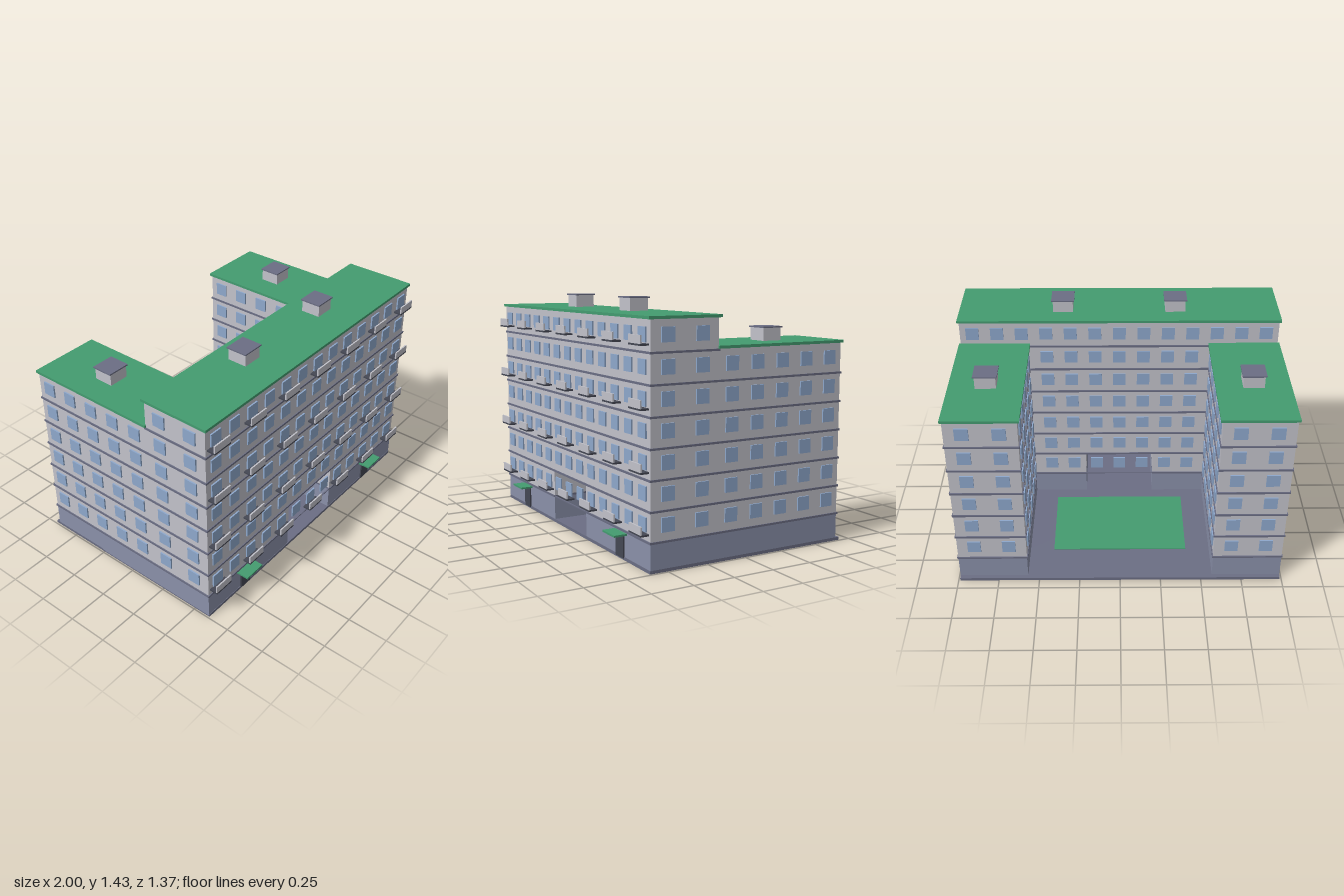
import * as THREE from 'three';

const mat = (name, color) => {
  const m = new THREE.MeshStandardMaterial({ color });
  m.name = name;
  return m;
};

export function createModel() {
  const wall = mat('wall grey', 0xc2c2ca);
  const plinth = mat('plinth blue grey', 0x8a90a9);
  const trim = mat('trim and paving', 0x6b6e84);
  const glass = mat('window blue', 0x8ea8cc);
  const green = mat('roof green', 0x449c70);
  const dark = mat('dark grey', 0x454854);

  const model = new THREE.Group();
  model.name = 'apartmentBlock';
  const group = (name) => {
    const g = new THREE.Group();
    g.name = name;
    model.add(g);
    return g;
  };

  // Box given by its limits along x, y and z
  const box = (parent, name, m, x0, x1, y0, y1, z0, z1) => {
    const mesh = new THREE.Mesh(new THREE.BoxGeometry(x1 - x0, y1 - y0, z1 - z0), m);
    mesh.position.set((x0 + x1) / 2, (y0 + y1) / 2, (z0 + z1) / 2);
    mesh.name = name;
    parent.add(mesh);
  };
  // Same box on both sides of x = 0
  const pair = (parent, name, m, x0, x1, ...rest) => {
    box(parent, name, m, x0, x1, ...rest);
    box(parent, name, m, -x1, -x0, ...rest);
  };

  const FLOOR = 1 / 6;
  const X = 0.99, XI = 0.57, ARCH = 0.225;
  const ZF = 0.605, ZM = 0.187, ZB = -0.656;
  const STEP = 0.152;

  // Paving and lawn
  const ground = group('ground');
  box(ground, 'paving', trim, -X, X, 0, 0.018, -0.683, 0.608);
  box(ground, 'lawn', green, -0.42, 0.42, 0.018, 0.024, -0.425, 0.1);

  // Main block with an open passage through the two lowest storeys
  const main = group('mainBlock');
  pair(main, 'mainPlinth', plinth, ARCH, X, 0.008, FLOOR, ZM, ZF);
  pair(main, 'mainLowerWall', wall, ARCH, X, FLOOR, 2 * FLOOR, ZM, ZF);
  box(main, 'mainUpperWall', wall, -X, X, 2 * FLOOR, 1.338, ZM, ZF);
  box(main, 'mainRoof', green, -1, 1, 1.338, 1.354, 0.17, 0.617);

  // Lower rear wings
  const wings = group('wings');
  pair(wings, 'wingPlinth', plinth, XI, X, 0.008, FLOOR, ZB, ZM);
  pair(wings, 'wingWall', wall, XI, X, FLOOR, 1.172, ZB, ZM);
  pair(wings, 'wingRoof', green, 0.557, 1, 1.172, 1.188, -0.669, 0.19);

  // Storey bands
  const bands = group('storeyBands');
  const o = 0.006;
  for (let f = 1; f <= 7; f++) {
    const y0 = f * FLOOR - 0.006, y1 = y0 + 0.012;
    if (f === 1) {
      pair(bands, 'mainBand', trim, ARCH, X + o, y0, y1, ZM - o, ZF + o);
      for (const z of [ZM, ZF]) {
        box(bands, 'passageBar', trim, -ARCH, ARCH, FLOOR - 0.003, FLOOR + 0.003, z - 0.004, z + 0.004);
      }
    } else {
      box(bands, 'mainBand', trim, -X - o, X + o, y0, y1, ZM - o, ZF + o);
    }
    if (f < 7) pair(bands, 'wingBand', trim, XI - o, X + o, y0, y1, ZB - o, ZM);
  }

  // Windows: thin plates on every facade
  const windows = group('windows');
  const H = 0.04, T = 0.009;
  const mainZ = [0.502, 0.289];
  const wingZ = [0.1, -0.068, -0.236, -0.404, -0.572];
  for (let f = 0; f < 7; f++) {
    const y = FLOOR * (f + 1) + 0.092;
    const y0 = y - H, y1 = y + H;
    for (let i = -6; i <= 6; i++) {
      const x = i * STEP;
      box(windows, 'frontWindow', glass, x - H, x + H, y0, y1, ZF, ZF + T);
      if (f === 6 || Math.abs(i) <= 3) {
        box(windows, 'courtWindow', glass, x - H, x + H, y0, y1, ZM - T, ZM);
      }
    }
    const sideZ = f < 6 ? [...mainZ, ...wingZ] : mainZ;
    for (const z of sideZ) pair(windows, 'sideWindow', glass, X, X + T, y0, y1, z - H, z + H);
    if (f === 6) continue;
    for (const z of wingZ) pair(windows, 'innerWindow', glass, XI - T, XI, y0, y1, z - H, z + H);
    for (const x of [0.675, 0.885]) {
      pair(windows, 'rearWindow', glass, x - H, x + H, y0, y1, ZB - T, ZB);
    }
  }

  // Balconies on alternate windows of alternate storeys
  const balconies = group('balconies');
  for (let f = 0; f < 7; f += 2) {
    const y = FLOOR * (f + 1) + 0.037;
    for (let i = -6; i <= 6; i += 2) {
      const x = i * STEP;
      box(balconies, 'balconySlab', dark, x - 0.064, x + 0.064, y, y + 0.01, ZF, 0.657);
      box(balconies, 'balconyRail', wall, x - 0.064, x + 0.064, y + 0.01, y + 0.055, 0.648, 0.657);
    }
  }

  // Entrances
  const entrances = group('entrances');
  pair(entrances, 'door', dark, 0.615, 0.701, 0.01, 0.14, ZF, ZF + 0.009);
  pair(entrances, 'doorCanopy', green, 0.588, 0.73, 0.145, 0.156, ZF, 0.683);

  // Roof vents
  const vents = group('roofVents');
  for (const [x, y, z] of [[0.35, 1.354, 0.347], [0.778, 1.188, -0.277]]) {
    pair(vents, 'ventBody', wall, x - 0.062, x + 0.062, y, y + 0.073, z - 0.06, z + 0.06);
    pair(vents, 'ventCap', trim, x - 0.071, x + 0.071, y + 0.073, y + 0.081, z - 0.066, z + 0.066);
  }

  return model;
}
